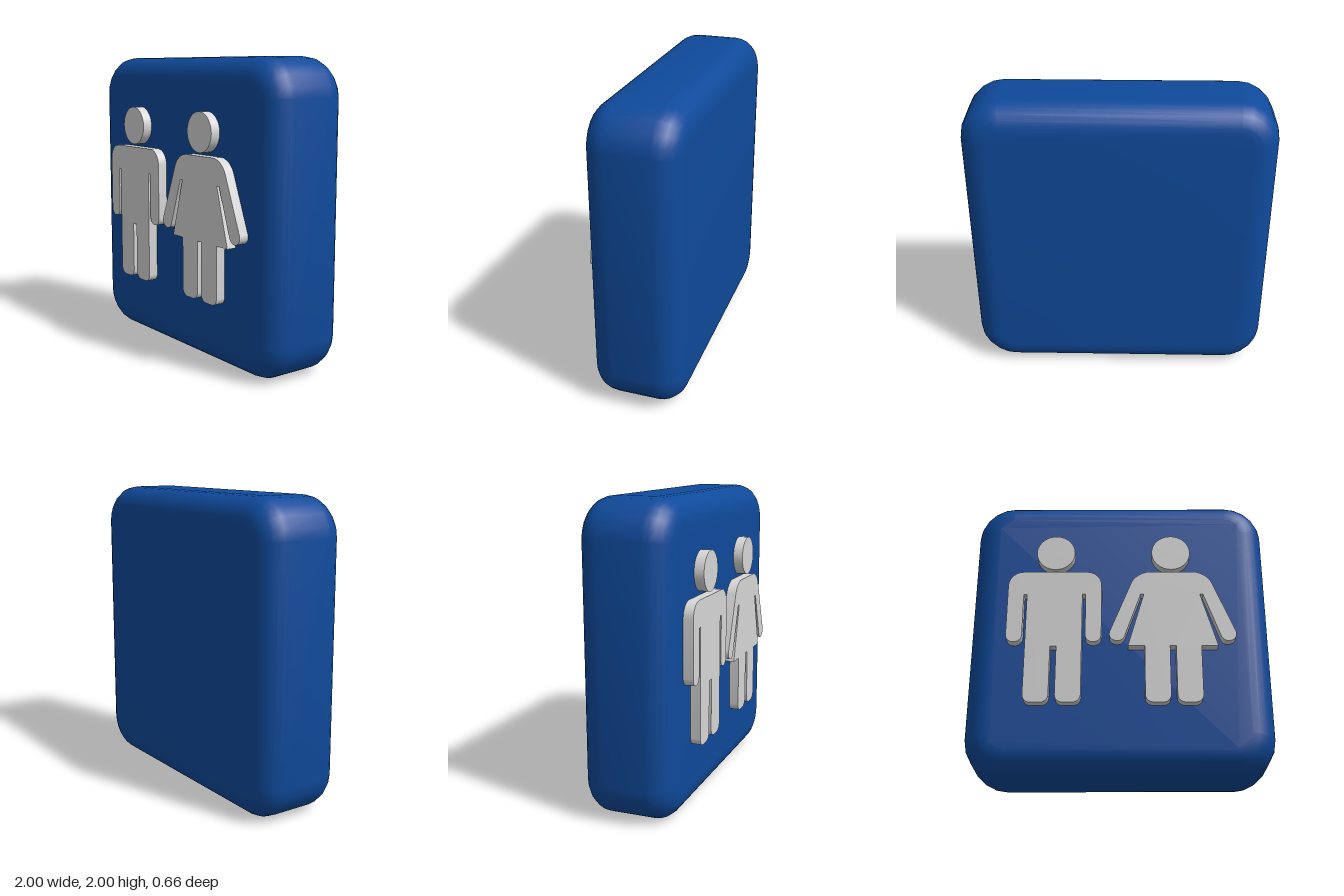
import * as THREE from 'three';
import { toCreasedNormals } from 'three/addons/utils/BufferGeometryUtils.js';

const blue = new THREE.MeshStandardMaterial({ color: 0x0f4a9b });
blue.name = 'sign blue';
const grey = new THREE.MeshStandardMaterial({ color: 0xd7d7d7 });
grey.name = 'light grey';

const ICON_BACK = 0.24, ICON_FRONT = 0.33;

// Closed shape through [x, y, cornerRadius] points
function roundedShape(points) {
  const shape = new THREE.Shape();
  const n = points.length;
  points.forEach(([x, y, r = 0], i) => {
    const p = new THREE.Vector2(x, y);
    const toward = (q) => new THREE.Vector2(q[0], q[1]).sub(p).normalize();
    const back = toward(points[(i + n - 1) % n]);
    const next = toward(points[(i + 1) % n]);
    const start = p.clone().addScaledVector(back, r);
    if (i === 0) shape.moveTo(start.x, start.y);
    else shape.lineTo(start.x, start.y);
    if (r > 0) {
      const c1 = p.clone().addScaledVector(back, r * 0.45);
      const c2 = p.clone().addScaledVector(next, r * 0.45);
      const end = p.clone().addScaledVector(next, r);
      shape.bezierCurveTo(c1.x, c1.y, c2.x, c2.y, end.x, end.y);
    }
  });
  shape.closePath();
  return shape;
}

// Symmetric figure from the right half of its outline, plus a round head
function figure(name, x, half) {
  const group = new THREE.Group();
  group.name = name;
  group.position.x = x;
  const mirrored = half.map(([px, py, r]) => [-px, py, r]).reverse();
  const depth = ICON_FRONT - ICON_BACK;
  const bodyGeo = new THREE.ExtrudeGeometry(roundedShape([...half, ...mirrored]), {
    depth, bevelEnabled: false, curveSegments: 6,
  });
  const body = new THREE.Mesh(toCreasedNormals(bodyGeo, 0.5), grey);
  body.name = name + 'Body';
  body.position.z = ICON_BACK;
  const headGeo = new THREE.CylinderGeometry(0.13, 0.13, depth, 40);
  headGeo.rotateX(Math.PI / 2);
  const head = new THREE.Mesh(headGeo, grey);
  head.name = name + 'Head';
  head.position.set(0, 1.53, (ICON_BACK + ICON_FRONT) / 2);
  group.add(body, head);
  return group;
}

export function createModel() {
  const model = new THREE.Group();
  model.name = 'restroomSign';

  // Soft-edged square slab
  const bevel = 0.16, h = 1 - bevel, r = 0.1;
  const outline = roundedShape([[-h, -h, r], [h, -h, r], [h, h, r], [-h, h, r]]);
  const slabGeo = new THREE.ExtrudeGeometry(outline, {
    depth: 0.595 - 2 * bevel, bevelSize: bevel, bevelThickness: bevel,
    bevelSegments: 6, curveSegments: 5,
  });
  const slab = new THREE.Mesh(toCreasedNormals(slabGeo, 0.7), blue);
  slab.name = 'slab';
  slab.position.set(0, 1, -0.33 + bevel);
  model.add(slab);

  // Figure with straight arms
  model.add(figure('man', -0.435, [
    [0.02, 0.83], [0.02, 0.44, 0.05], [0.185, 0.44, 0.05],
    [0.185, 1.21], [0.207, 1.21], [0.207, 0.86, 0.05], [0.313, 0.86, 0.05],
    [0.313, 1.38, 0.1],
  ]));

  // Figure with slanted arms and a flared skirt
  model.add(figure('woman', 0.347, [
    [0.02, 0.83], [0.02, 0.44, 0.05], [0.185, 0.44, 0.05],
    [0.185, 0.83], [0.295, 0.83], [0.187, 1.21], [0.208, 1.21],
    [0.333, 0.853, 0.05], [0.432, 0.888, 0.05], [0.237, 1.38, 0.09],
  ]));

  return model;
}
